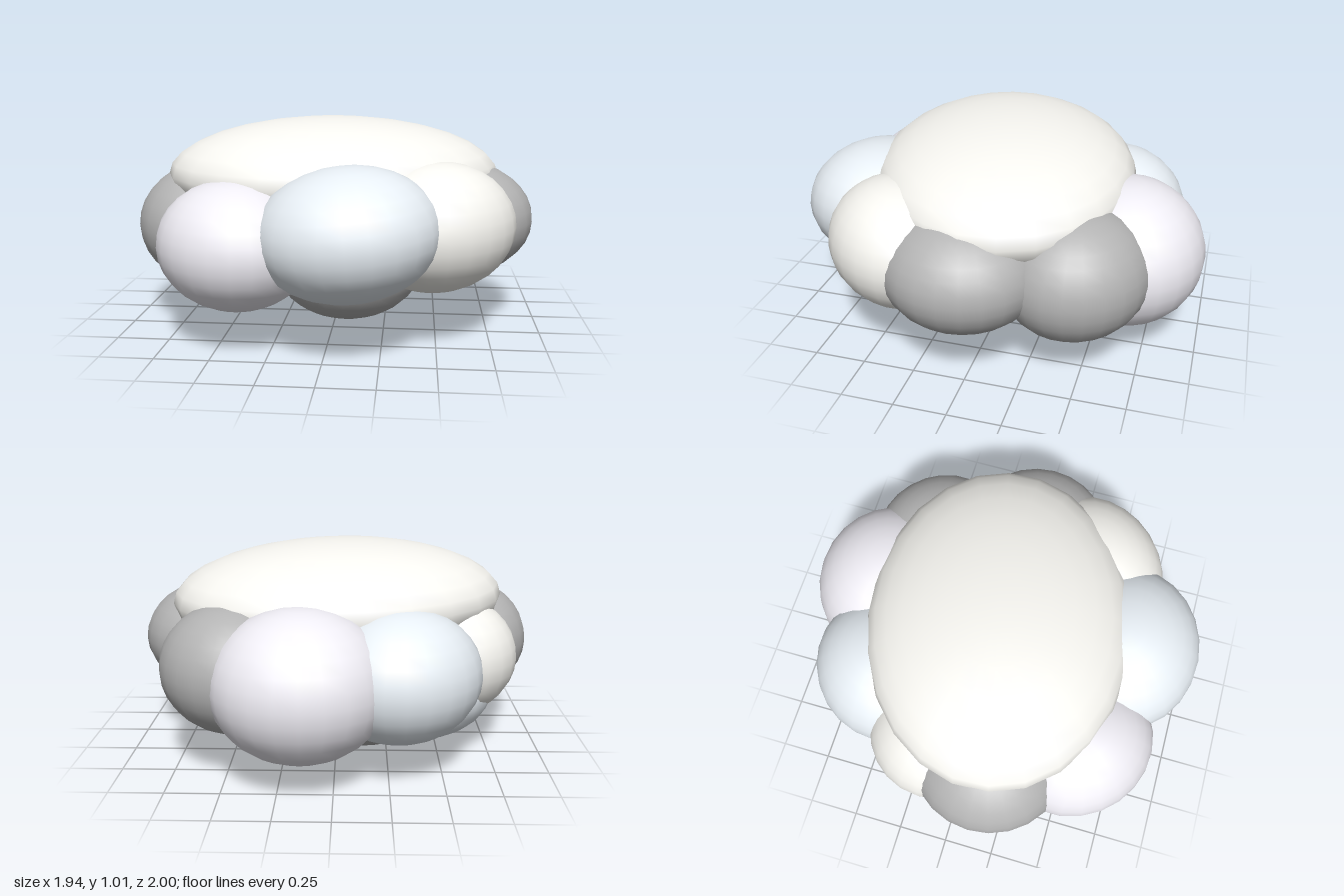
import * as THREE from 'three';

const CREAM = 0xf8f7f2, LILAC = 0xf0eef5, BLUE = 0xe8eff5, GREY = 0xb4b4b4;

// name, colour, centre, radii (tangent, up, outward), yaw about y, roll about z
const PUFFS = [
  ['crown', CREAM, [-0.01, 0.74, 0.01], [0.82, 0.28, 0.64], 0.22, -0.01],
  // ring of puffs, starting at the front and going towards +x
  ['frontPuff', BLUE, [0.1, 0.56, 0.62], [0.42, 0.3, 0.38], 0.05, 0.1],
  ['frontLeftPuff', CREAM, [0.49, 0.55, 0.38], [0.4, 0.3, 0.335], 0.75, 0],
  ['leftPuff', GREY, [0.6, 0.53, 0.04], [0.37, 0.28, 0.38], 0, 0],
  ['backLeftPuff', GREY, [0.465, 0.495, -0.445], [0.36, 0.305, 0.33], -0.7, 0],
  ['backPuff', LILAC, [0.15, 0.47, -0.62], [0.41, 0.35, 0.38], 0.05, 0],
  ['backRightPuff', BLUE, [-0.3, 0.48, -0.5], [0.385, 0.31, 0.35], 0.6, 0],
  ['rightRearPuff', CREAM, [-0.53, 0.48, -0.15], [0.35, 0.3, 0.34], 0, 0],
  ['rightPuff', GREY, [-0.605, 0.5, 0.13], [0.365, 0.31, 0.38], 0, 0],
  ['frontRightPuff', LILAC, [-0.415, 0.48, 0.525], [0.385, 0.3, 0.345], -0.7, 0],
  // underside
  ['bellyPuff', GREY, [0.06, 0.29, 0.03], [0.38, 0.285, 0.42], 0, 0],
  ['rearBellyPuff', GREY, [-0.12, 0.33, -0.2], [0.42, 0.28, 0.38], 0, 0],
  ['sideBellyPuff', BLUE, [-0.4, 0.33, -0.16], [0.37, 0.26, 0.37], 0, 0],
];

export function createModel() {
  const model = new THREE.Group();
  model.name = 'cloud';
  const sphere = new THREE.SphereGeometry(1, 24, 16);
  const materials = new Map();
  for (const [name, color, centre, radii, yaw, roll] of PUFFS) {
    if (!materials.has(color)) materials.set(color, new THREE.MeshStandardMaterial({ color }));
    const puff = new THREE.Mesh(sphere, materials.get(color));
    puff.name = name;
    puff.position.set(...centre);
    puff.scale.set(...radii);
    puff.rotation.set(0, yaw, roll);
    model.add(puff);
  }
  return model;
}
